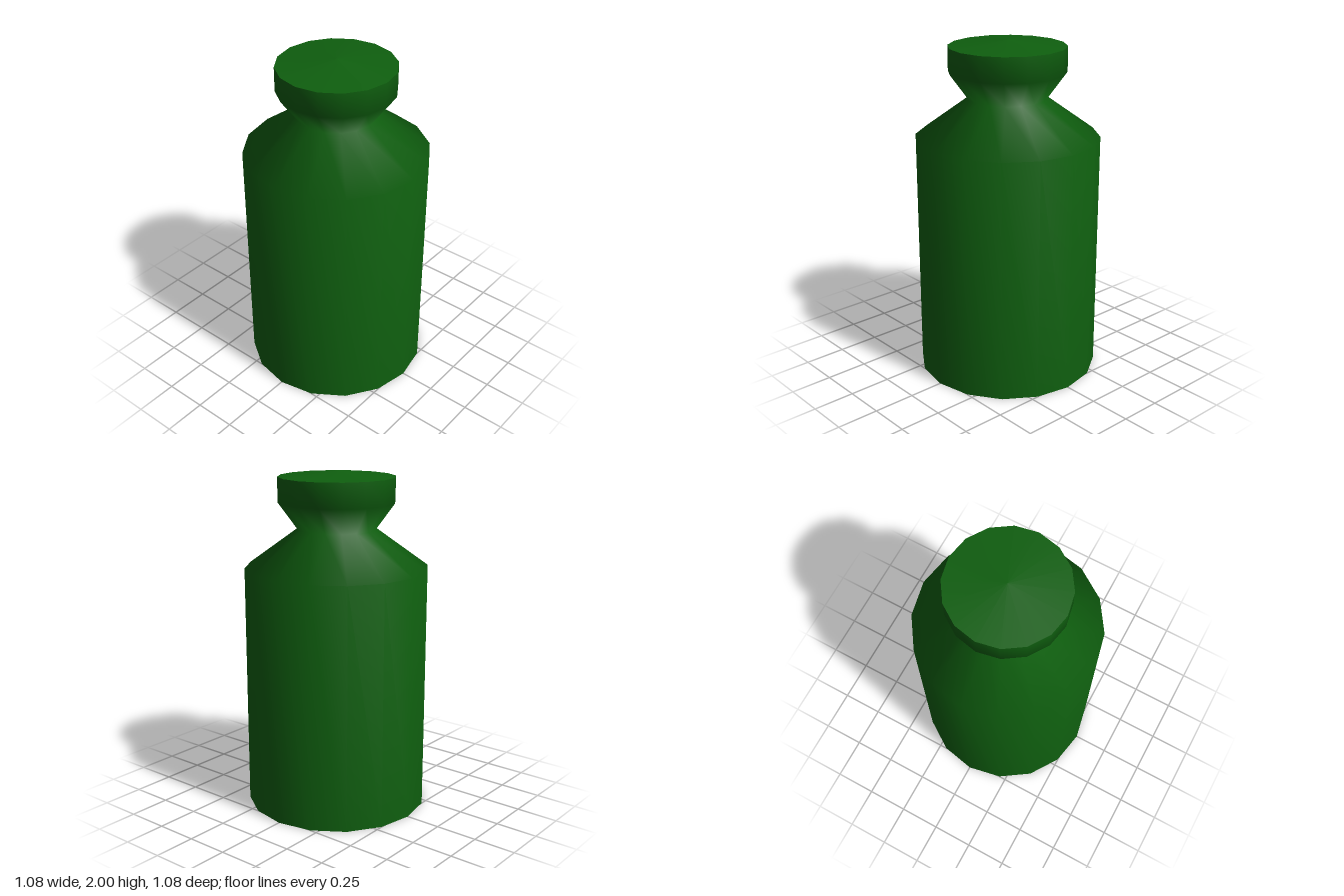
import * as THREE from 'three';

const SIDES = 16;

export function createModel() {
  const group = new THREE.Group();
  group.name = 'bottle';
  const material = new THREE.MeshStandardMaterial({ color: 0x0f5f0f });

  // Turned part from a bottom-to-top profile of [radius, height]
  const turned = (name, profile) => {
    const points = profile.map(([r, y]) => new THREE.Vector2(r, y));
    const mesh = new THREE.Mesh(new THREE.LatheGeometry(points, SIDES), material);
    mesh.name = name;
    group.add(mesh);
  };

  // Flat underside
  turned('base', [[0, 0], [0.54, 0]]);

  // Smooth wall: body, shoulder, pinched neck and flared rim
  turned('body', [[0.54, 0], [0.54, 1.44], [0.23, 1.665], [0.342, 1.82], [0.342, 1.966]]);

  // Shallow conical top, with a sharp edge against the rim
  turned('lid', [[0.342, 1.966], [0, 2]]);

  return group;
}
